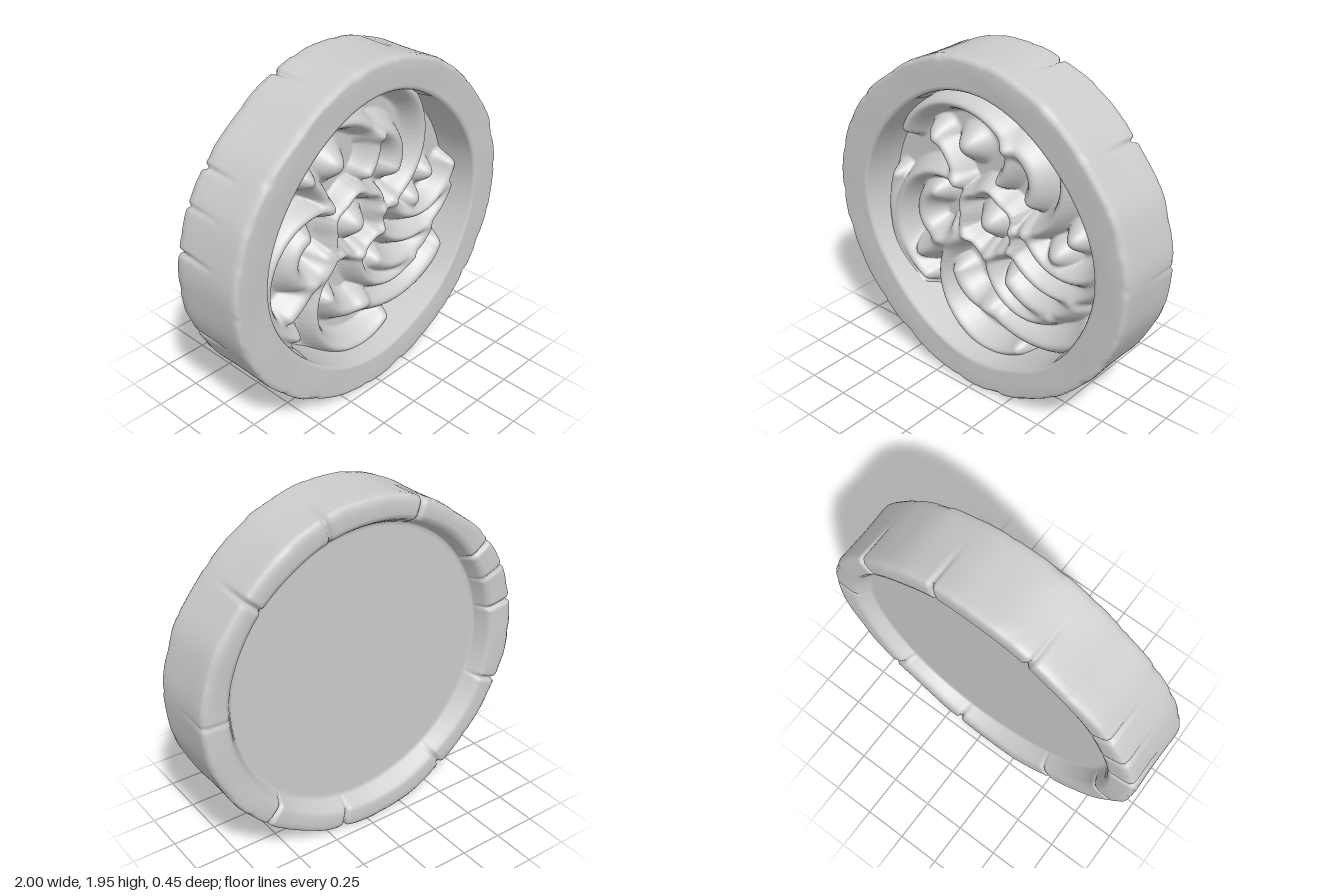
import * as THREE from 'three';

const CENTRE_Y = 0.975;
const TAU = Math.PI * 2;
const RAD = Math.PI / 180;

// Cracks between the blocks of the rim: degrees and strength
const CRACKS = [[1, 0.3], [41, 1], [74, 0.8], [110, 0.8], [145, 0.8], [157, 0.5], [171, 0.8], [201, 0.8], [237, 0.8],
  [280, 1], [313, 1]];

// Raised spiral arcs: centre x, y, start radius, end radius (hundredths), start and end degrees
const NARROW_ARCS = [
  [-18, 20, 46, 43, 154, 42],
  [13, 37, 38, 35, 90, -82],
  [-12, 42, 26, 24, 13, -36],
  [52, 14, 28, 25, 197, 346],
  [50, 8, 38, 28, 208, 331],
  [26, -20, 26, 27, 173, 310],
  [0, -42, 34, 36, 118, 305],
  [-30, -14, 34, 40, 76, 243],
  [-10, -10, 62, 64, 163, 227],
  [-60, 10, 38, 38, 12, 51],
];
const BROAD_ARCS = [
  [14, 29, 21, 15, 93, -20],
  [36, -10, 29, 28, 224, 321],
  [-4, -32, 20, 20, 197, 290],
  [32, -10, 52, 47, 232, 317],
  [-35, -7, 15, 12, 108, 338],
  [-75, 5, 46, 47, 300, 326],
];
// Raised beads: x, y, radius
const BEADS = [[-0.01, 0, 0.13], [-0.16, 0.41, 0.13], [-0.38, 0.42, 0.11], [0.56, 0.1, 0.11], [0.45, -0.03, 0.12]];

function arcPoints([cx, cy, r0, r1, a0, a1]) {
  return Array.from({ length: 31 }, (_, i) => {
    const t = i / 30, r = r0 + (r1 - r0) * t, a = (a0 + (a1 - a0) * t) * RAD;
    return new THREE.Vector2((cx + r * Math.cos(a)) / 100, (cy + r * Math.sin(a)) / 100);
  });
}

// Six-cornered ring around the middle bead
const ringPoints = Array.from({ length: 49 }, (_, i) => {
  const a = (i / 48) * TAU, r = 0.186 * (1 - 0.06 * Math.cos(6 * a));
  return new THREE.Vector2(r * Math.cos(a) - 0.01, r * Math.sin(a) + 0.01);
});

const ridges = [
  { width: 0.07, height: 0.12, pts: ringPoints },
  ...NARROW_ARCS.map((arc) => ({ width: 0.08, height: 0.12, pts: arcPoints(arc) })),
  ...BROAD_ARCS.map((arc) => ({ width: 0.105, height: 0.125, pts: arcPoints(arc) })),
];

function segmentDistance(x, y, a, b) {
  const dx = b.x - a.x, dy = b.y - a.y;
  const t = THREE.MathUtils.clamp(((x - a.x) * dx + (y - a.y) * dy) / (dx * dx + dy * dy), 0, 1);
  return Math.hypot(x - a.x - t * dx, y - a.y - t * dy);
}

// Height of the carving above the floor, blending the ridges softly
function reliefHeight(x, y) {
  let sum = 0;
  const raise = (d, width, height) => {
    if (d < width) sum += (height * (1 - (d / width) ** 2) ** 1.7) ** 4;
  };
  for (const { width, height, pts } of ridges) {
    let d = Infinity;
    for (let i = 1; i < pts.length; i++) d = Math.min(d, segmentDistance(x, y, pts[i - 1], pts[i]));
    raise(d, width, height);
  }
  for (const [bx, by, r] of BEADS) raise(Math.hypot(x - bx, y - by), r, 0.125);
  return sum ** 0.25;
}

const bump = (a, at, width) => Math.exp(-(((a - at) / width) ** 2));

// Worn outline: slightly wide, flattened on the upper diagonals
function outerRadius(a) {
  return 0.979 + 0.012 * Math.cos(2 * a) + 0.007 * Math.cos(4 * a) - 0.003 * Math.cos(a)
    - 0.017 * bump(a, 2.2, 0.25) - 0.012 * bump(a, 0.7, 0.2) + 0.002 * Math.sin(19 * a);
}

// Slightly squared opening, swollen at the lower right
function openingRadius(a) {
  return 0.777 + 0.014 * Math.cos(4 * a) + 0.006 * Math.cos(a) + 0.025 * bump(a, 5.5, 0.3);
}

function crackDepth(a) {
  return Math.max(...CRACKS.map(([deg, strength]) => strength * bump(a, deg * RAD, 0.013)));
}

// Surface around the z axis, from rows of points at each angle
function polarSurface(name, segs, sectionAt, material) {
  const pos = [], index = [];
  for (let i = 0; i < segs; i++) {
    const a = (i / segs) * TAU, section = sectionAt(a), rows = section.length;
    section.forEach(([r, z], j) => {
      pos.push(r * Math.cos(a), r * Math.sin(a), z);
      if (j === rows - 1) return;
      const p = i * rows + j, q = ((i + 1) % segs) * rows + j;
      index.push(p, q, q + 1, p, q + 1, p + 1);
    });
  }
  const geo = new THREE.BufferGeometry();
  geo.setAttribute('position', new THREE.Float32BufferAttribute(pos, 3));
  geo.setIndex(index);
  geo.computeVertexNormals();
  const mesh = new THREE.Mesh(geo, material);
  mesh.name = name;
  mesh.position.y = CENTRE_Y;
  return mesh;
}

// Cross-section of the stone, from the back floor round to the front recess wall
function stoneSection(a) {
  const c = crackDepth(a);
  const wobble = 0.003 * Math.sin(5 * a + 1) + 0.002 * Math.sin(11 * a);
  const chip = 0.008 * Math.max(0, Math.sin(9 * a + 2) * Math.sin(17 * a) - 0.35)
    + 0.006 * Math.max(0, Math.sin(31 * a) * Math.sin(13 * a + 1) - 0.4);
  const R = outerRadius(a), F = openingRadius(a);
  const B = 0.798 + 0.005 * Math.sin(4 * a);
  // Back rim stands proud towards the lower right as seen from behind
  const back = -0.212 + 0.01 * Math.cos(a) + 0.005 * Math.sin(a) + wobble + 0.026 * c;
  // Faintly hollow side, with the cracks fading towards the front
  const side = [-0.165, -0.1, -0.03, 0.04, 0.11, 0.18].map((z) => [
    R - 0.005 * (1 - (z / 0.2) ** 2) - 0.022 * c * Math.max(0, (0.05 - z) / 0.2), z,
  ]);
  return [
    [0, -0.12], [B - 0.02, -0.12], [B, -0.122], [B + 0.006, -0.13],
    [B + 0.03, back + 0.03], [B + 0.045, back + 0.008], [B + 0.07, back], [R - 0.05 - chip, back],
    [R - 0.022 - chip - 0.02 * c, back + 0.003], [R - 0.006 - chip - 0.025 * c, back + 0.014],
    ...side,
    [R - 0.003 - chip, 0.207], [R - 0.01 - chip * 2, 0.219], [R - 0.03 - chip * 2, 0.226],
    [(R + F) / 2, 0.222 + wobble], [F + 0.025, 0.222], [F + 0.008, 0.218],
    [F, 0.205], [F - 0.006, 0.1], [F - 0.014, -0.02], [F - 0.02, -0.07],
  ];
}

// Radial line across the carved floor, from the recess wall to the middle
function reliefSection(a) {
  const rows = 110;
  return Array.from({ length: rows + 1 }, (_, j) => {
    const t = 1 - j / rows, r = openingRadius(a) * t;
    return [r, -0.03 + 0.012 * t ** 12 + reliefHeight(r * Math.cos(a), r * Math.sin(a))];
  });
}

export function createModel() {
  const group = new THREE.Group();
  group.name = 'carvedStoneRoundel';
  const stone = new THREE.MeshStandardMaterial({ color: 0xcccccc, roughness: 0.9 });
  // Weathered rim with the sunken back panel
  group.add(polarSurface('stoneRim', 540, stoneSection, stone));
  // Swirling leaf carving in the front recess
  group.add(polarSurface('swirlRelief', 360, reliefSection, stone));
  return group;
}
